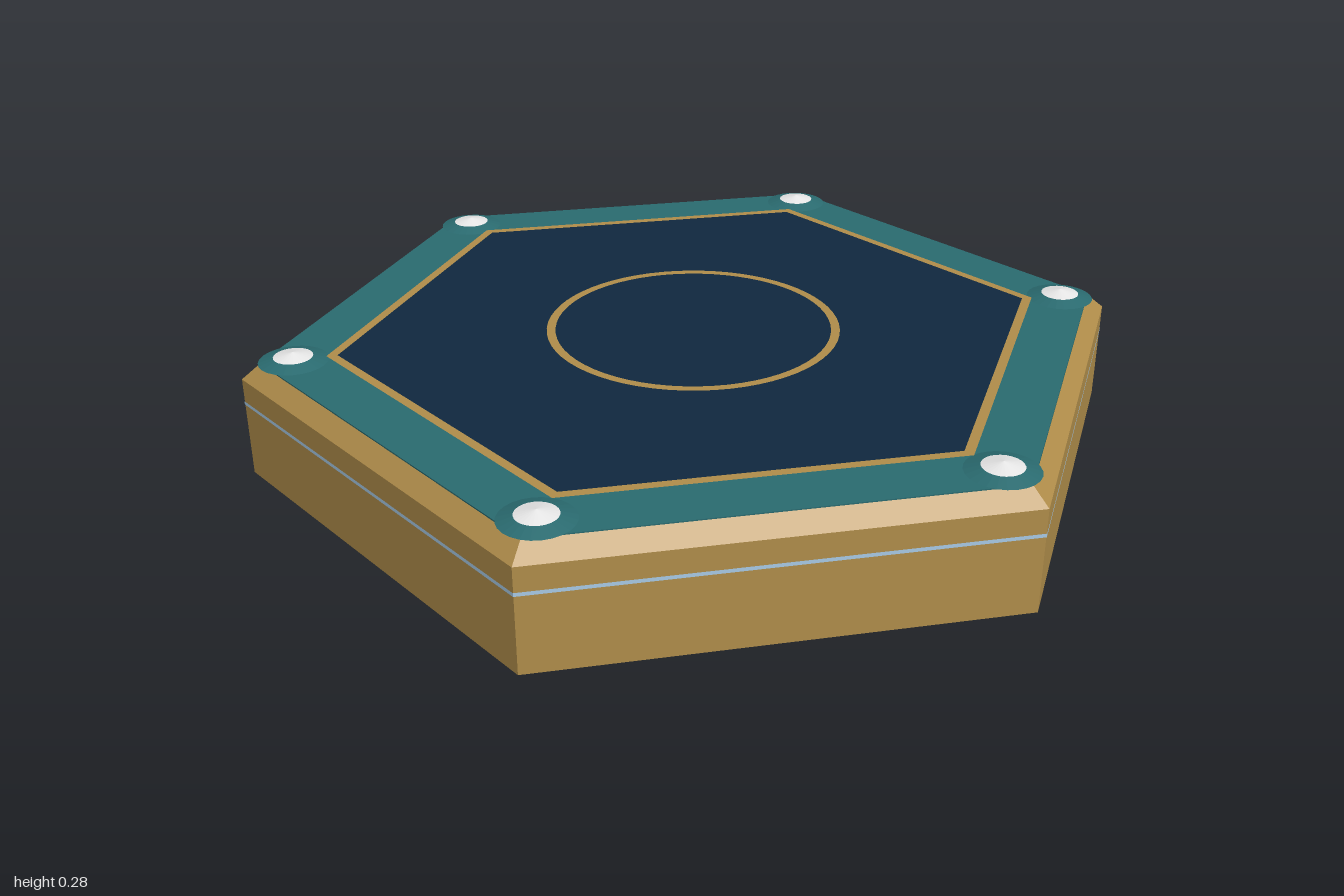
import * as THREE from 'three';

const mat = (name, color, side = THREE.FrontSide) => {
  const m = new THREE.MeshStandardMaterial({ color, side, flatShading: true });
  m.name = name;
  return m;
};

export function createModel() {
  const group = new THREE.Group();
  const gold = mat('antique gold', 0xb08d4a);
  const teal = mat('deep teal', 0x2a6b70);
  const navy = mat('dark navy', 0x10283f);
  const silver = mat('pale silver', 0xf0f0f0);
  const blue = mat('pale blue', 0xa9cbe6);

  const add = (name, geometry, material, x = 0, y = 0, z = 0) => {
    const mesh = new THREE.Mesh(geometry, material);
    mesh.name = name;
    mesh.position.set(x, y, z);
    group.add(mesh);
    return mesh;
  };
  // Hexagonal slab between two heights, corners on the z axis
  const slab = (name, rTop, rBottom, y0, y1, material, open = false) =>
    add(name, new THREE.CylinderGeometry(rTop, rBottom, y1 - y0, 6, 1, open), material, 0, (y0 + y1) / 2, 0);
  // Flat ring facing up
  const ring = (name, inner, outer, sides, y, material) =>
    add(name, new THREE.RingGeometry(inner, outer, sides, 1, Math.PI / 2).rotateX(-Math.PI / 2), material, 0, y, 0);

  // Body with a dark underside and a bevelled top edge
  slab('body', 0.999, 0.999, 0, 0.23, [gold, gold, navy]);
  slab('bevel', 0.958, 0.999, 0.23, 0.263, gold, true);
  slab('sideStripe', 1, 1, 0.169, 0.177, blue, true);

  // Layered top surface
  slab('tealBorder', 0.957, 0.957, 0.258, 0.265, teal);
  slab('navyField', 0.8, 0.8, 0.262, 0.267, navy);
  ring('hexInlay', 0.792, 0.816, 6, 0.2685, gold);
  ring('circleInlay', 0.312, 0.332, 64, 0.2685, gold);

  // Corner studs on low sloping pads
  for (let i = 0; i < 6; i++) {
    const a = (i * Math.PI) / 3;
    const x = Math.sin(a) * 0.886, z = Math.cos(a) * 0.886;
    add('studPad', new THREE.CylinderGeometry(0.043, 0.076, 0.01, 24), teal, x, 0.27, z);
    add('stud', new THREE.ConeGeometry(0.043, 0.01, 24), silver, x, 0.28, z);
  }
  return group;
}
